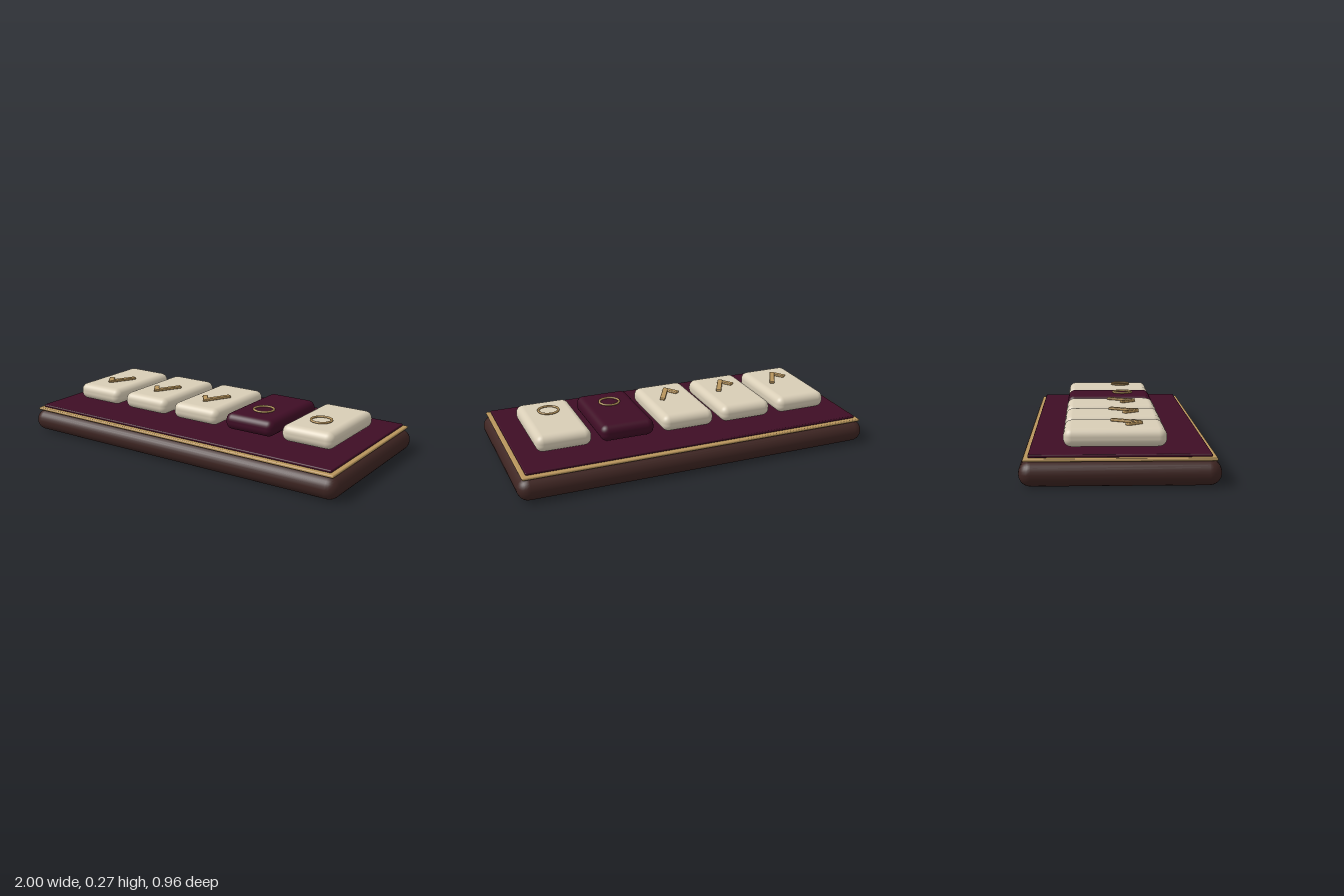
import * as THREE from 'three';
import { RoundedBoxGeometry } from 'three/addons/geometries/RoundedBoxGeometry.js';

const material = (name, color) => {
  const m = new THREE.MeshStandardMaterial({ color });
  m.name = name;
  return m;
};

export function createModel() {
  const wood = material('dark wood', 0x3e2522);
  const gold = material('gold', 0xb8955c);
  const burgundy = material('burgundy', 0x3f0d25);
  const ivory = material('ivory', 0xd8cdb6);

  const model = new THREE.Group();
  model.name = 'tileBoard';

  const add = (parent, name, geometry, mat, x, y, z) => {
    const mesh = new THREE.Mesh(geometry, mat);
    mesh.name = name;
    mesh.position.set(x, y, z);
    parent.add(mesh);
    return mesh;
  };

  // Base slab, gold trim and cloth surface
  add(model, 'base', new RoundedBoxGeometry(2, 0.122, 0.956, 3, 0.06), wood, 0, 0.061, 0);
  add(model, 'trim', new RoundedBoxGeometry(1.95, 0.015, 0.91, 2, 0.006), gold, 0, 0.1295, 0);
  add(model, 'cloth', new RoundedBoxGeometry(1.905, 0.015, 0.864, 2, 0.006), burgundy, 0, 0.1445, 0);

  // Flat bar between two points on top of a tile
  const bar = (parent, name, x1, z1, x2, z2, y) => {
    const length = Math.hypot(x2 - x1, z2 - z1);
    const mesh = add(parent, name, new RoundedBoxGeometry(length, 0.014, 0.03, 2, 0.005),
      gold, (x1 + x2) / 2, y, (z1 + z2) / 2);
    mesh.rotation.y = -Math.atan2(z2 - z1, x2 - x1);
  };

  // Five tiles: three with a check mark, two with a ring
  const tileGeometry = new RoundedBoxGeometry(0.3, 0.092, 0.5, 4, 0.04);
  const ringGeometry = new THREE.TorusGeometry(0.055, 0.006, 8, 32).rotateX(Math.PI / 2);
  for (let i = 0; i < 5; i++) {
    const tile = new THREE.Group();
    tile.name = `tile${i + 1}`;
    tile.position.x = (i - 2) * 0.35;
    model.add(tile);
    add(tile, 'tileBody', tileGeometry, i === 3 ? burgundy : ivory, 0, 0.206, -0.02);
    if (i < 3) {
      bar(tile, 'checkShortStroke', -0.056, 0.038, -0.003, 0.112, 0.258);
      bar(tile, 'checkLongStroke', -0.013, 0.113, 0.066, -0.034, 0.26);
    } else {
      add(tile, 'ring', ringGeometry, gold, 0, i === 3 ? 0.257 : 0.26, 0.06);
    }
  }
  return model;
}
